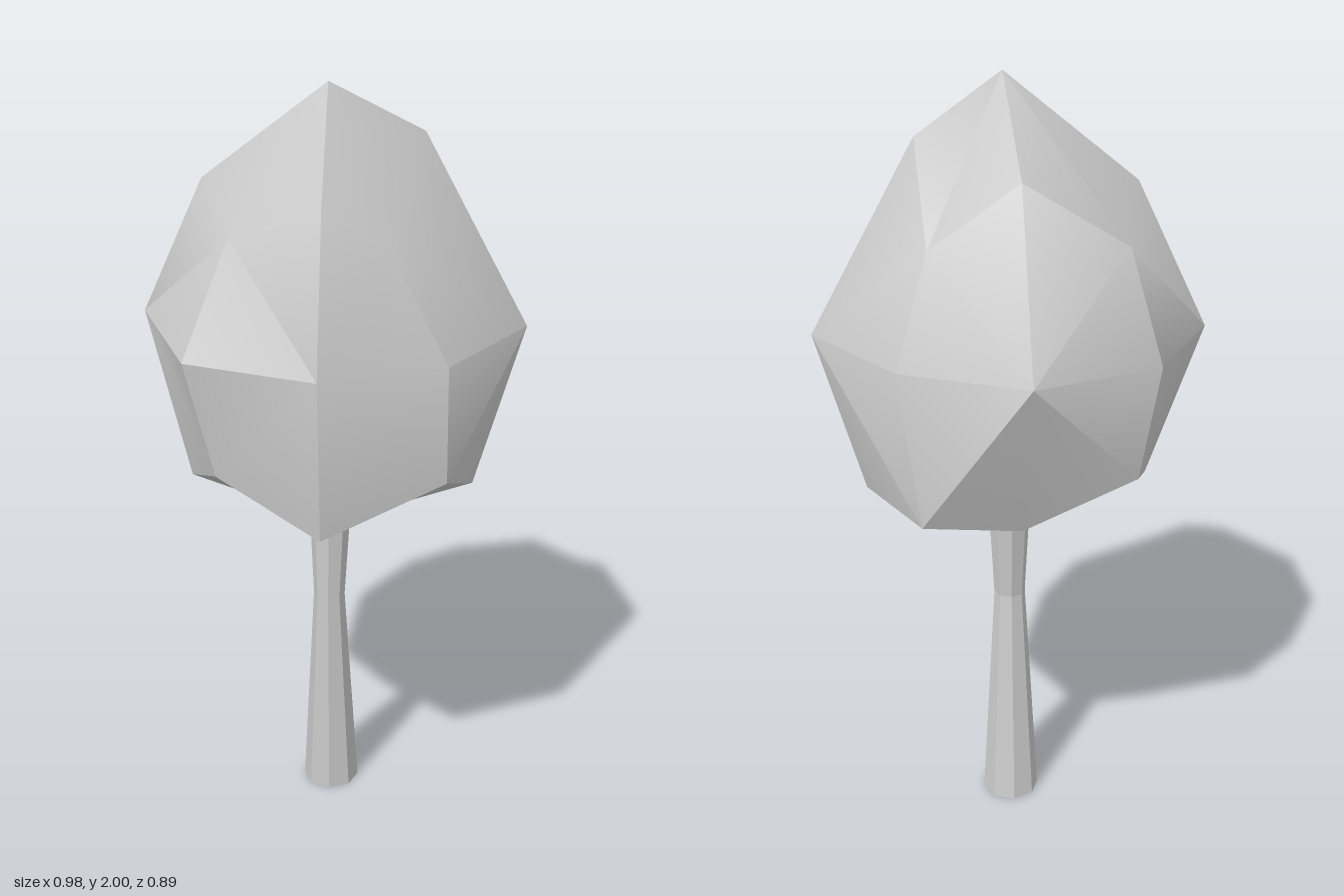
import * as THREE from 'three';
import { toCreasedNormals } from 'three/addons/utils/BufferGeometryUtils.js';

const material = () => new THREE.MeshStandardMaterial({ color: 0xcccccc });

// Crown: a cube split into 2 x 2 quads per side, its 26 points pulled into an egg.
// Layers run bottom to top; in each, rows run back to front and points left (-x) to right (+x).
const CROWN = [
  [[[-0.28, 1.09, -0.31], [0, 0.95, -0.28], [0.25, 1.0, -0.33]],
    [[-0.37, 0.96, 0], [0, 0.83, 0], [0.37, 0.96, 0]],
    [[-0.26, 1.09, 0.3], [0, 0.96, 0.375], [0.3, 1.09, 0.3]]],
  [[[-0.32, 1.39, -0.34], [0, 1.39, -0.445], [0.3, 1.39, -0.3]],
    [[-0.49, 1.39, -0.07], null, [0.49, 1.39, -0.01]],
    [[-0.325, 1.39, 0.335], [0, 1.39, 0.445], [0.295, 1.39, 0.315]]],
  [[[-0.25, 1.66, -0.27], [0, 1.81, -0.245], [0.215, 1.65, -0.21]],
    [[-0.32, 1.75, -0.01], [0, 2.0, 0.1], [0.225, 1.87, -0.01]],
    [[-0.225, 1.66, 0.22], [0, 1.75, 0.31], [0.15, 1.66, 0.27]]],
];

function crownGeometry() {
  const positions = [];
  // Each side maps its own (u, v) grid to (x, y, z) indices, wound outward
  const sides = [
    (u, v) => [u, v, 2], (u, v) => [2 - u, v, 0],
    (u, v) => [2, v, 2 - u], (u, v) => [0, v, u],
    (u, v) => [u, 2, 2 - v], (u, v) => [u, 0, v],
  ];
  for (const side of sides) {
    const point = (u, v) => {
      const [x, y, z] = side(u, v);
      return CROWN[y][z][x];
    };
    for (let u = 0; u < 2; u++) {
      for (let v = 0; v < 2; v++) {
        const a = point(u, v), b = point(u + 1, v), c = point(u + 1, v + 1), d = point(u, v + 1);
        // Split from the side's centre out to its corner
        const tris = u === v ? [a, b, c, a, c, d] : [a, b, d, b, c, d];
        positions.push(...tris.flat());
      }
    }
  }
  const geometry = new THREE.BufferGeometry();
  geometry.setAttribute('position', new THREE.Float32BufferAttribute(positions, 3));
  return toCreasedNormals(geometry, THREE.MathUtils.degToRad(35));
}

// Trunk: an eight-sided post with a bend, each ring moved and sized by its level
function trunkGeometry() {
  const rings = [
    { x: -0.004, y: 0.9, z: -0.004, r: 0.056 },
    { x: -0.006, y: 0.62, z: 0.004, r: 0.042 },
    { x: -0.004, y: 0, z: -0.038, r: 0.077 },
  ];
  const geometry = new THREE.CylinderGeometry(1, 1, 2, 8, 2);
  const p = geometry.attributes.position;
  for (let i = 0; i < p.count; i++) {
    const ring = rings[Math.round(1 - p.getY(i))];
    p.setXYZ(i, ring.x + p.getX(i) * ring.r, ring.y, ring.z + p.getZ(i) * ring.r);
  }
  const flat = geometry.toNonIndexed();
  flat.computeVertexNormals();
  return flat;
}

export function createModel() {
  const model = new THREE.Group();
  model.name = 'tree';

  const crown = new THREE.Mesh(crownGeometry(), material());
  crown.name = 'crown';

  const trunk = new THREE.Mesh(trunkGeometry(), material());
  trunk.name = 'trunk';
  trunk.material.flatShading = true;

  model.add(crown, trunk);
  return model;
}
